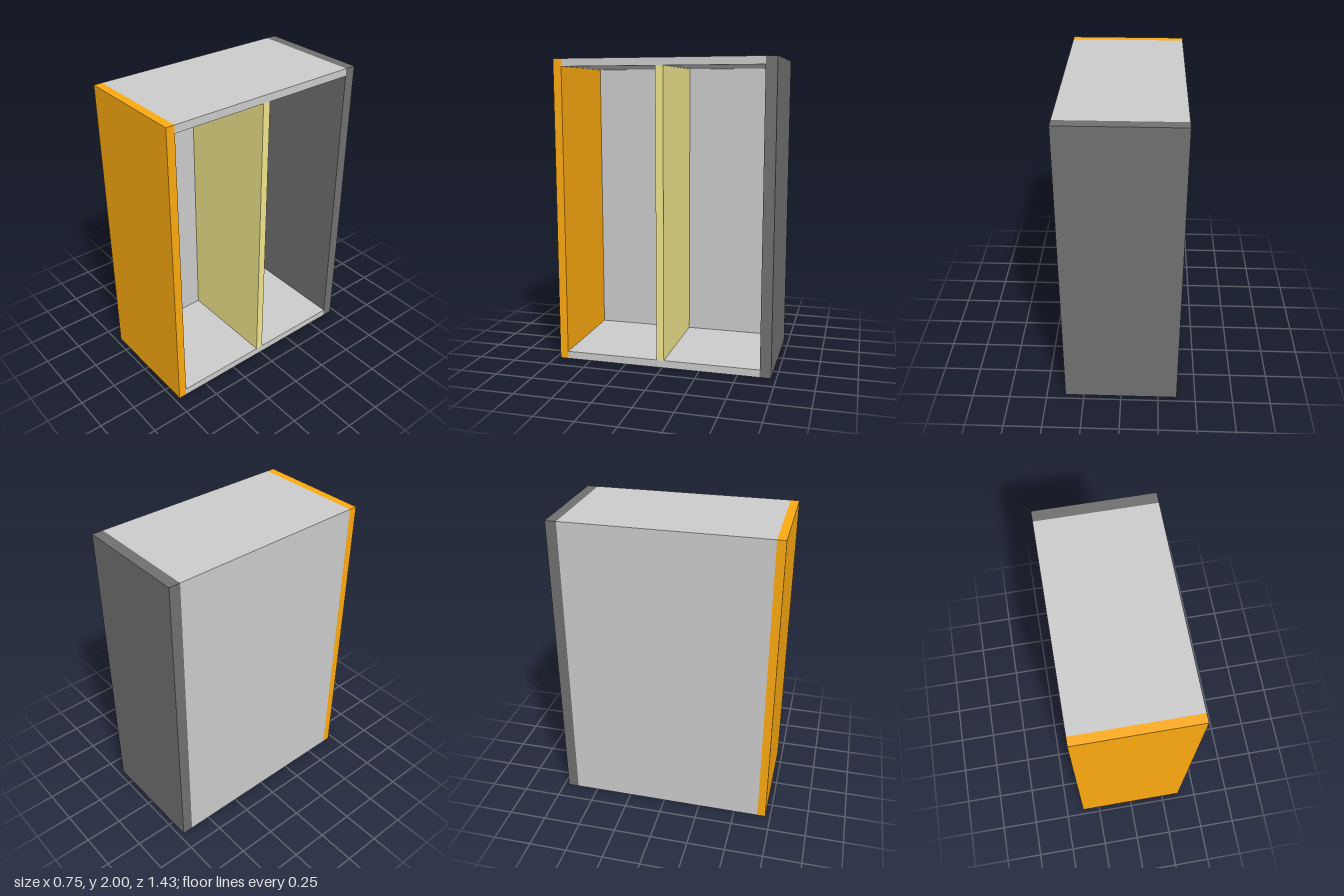
import * as THREE from 'three';

const HALF_W = 0.375, HEIGHT = 2, HALF_D = 0.717, WALL = 0.05;
const FRONT_Z = 0.662, BACK_Z = -0.645; // inner faces of the end panels

export function createModel() {
  const model = new THREE.Group();

  function add(name, geometry, color) {
    const mesh = new THREE.Mesh(geometry, new THREE.MeshStandardMaterial({ color }));
    mesh.name = name;
    model.add(mesh);
    return mesh;
  }

  // Upright board spanning x0..HALF_W, y0..y1 and z0..z1
  function board(name, x0, y0, y1, z0, z1, color) {
    const geometry = new THREE.BoxGeometry(HALF_W - x0, y1 - y0, z1 - z0);
    add(name, geometry, color).position.set((x0 + HALF_W) / 2, (y0 + y1) / 2, (z0 + z1) / 2);
  }

  // Top, bottom and closed side as one C-shaped profile, open towards +x
  const profile = new THREE.Shape([
    [-HALF_W, 0], [HALF_W, 0], [HALF_W, WALL], [-HALF_W + WALL, WALL],
    [-HALF_W + WALL, HEIGHT - WALL], [HALF_W, HEIGHT - WALL], [HALF_W, HEIGHT], [-HALF_W, HEIGHT],
  ].map(([x, y]) => new THREE.Vector2(x, y)));
  const shell = new THREE.ExtrudeGeometry(profile, { depth: FRONT_Z - BACK_Z, bevelEnabled: false });
  add('cabinetShell', shell, 0xcccccc).position.z = BACK_Z;

  // End panels and the divider inside
  board('frontPanel', -HALF_W, 0, HEIGHT, FRONT_Z, HALF_D, 0xfcaa10);
  board('backPanel', -HALF_W, 0, HEIGHT, -HALF_D, BACK_Z, 0x707070);
  board('divider', -HALF_W + WALL, WALL, HEIGHT - WALL, -0.013, 0.037, 0xf0e68c);

  return model;
}
